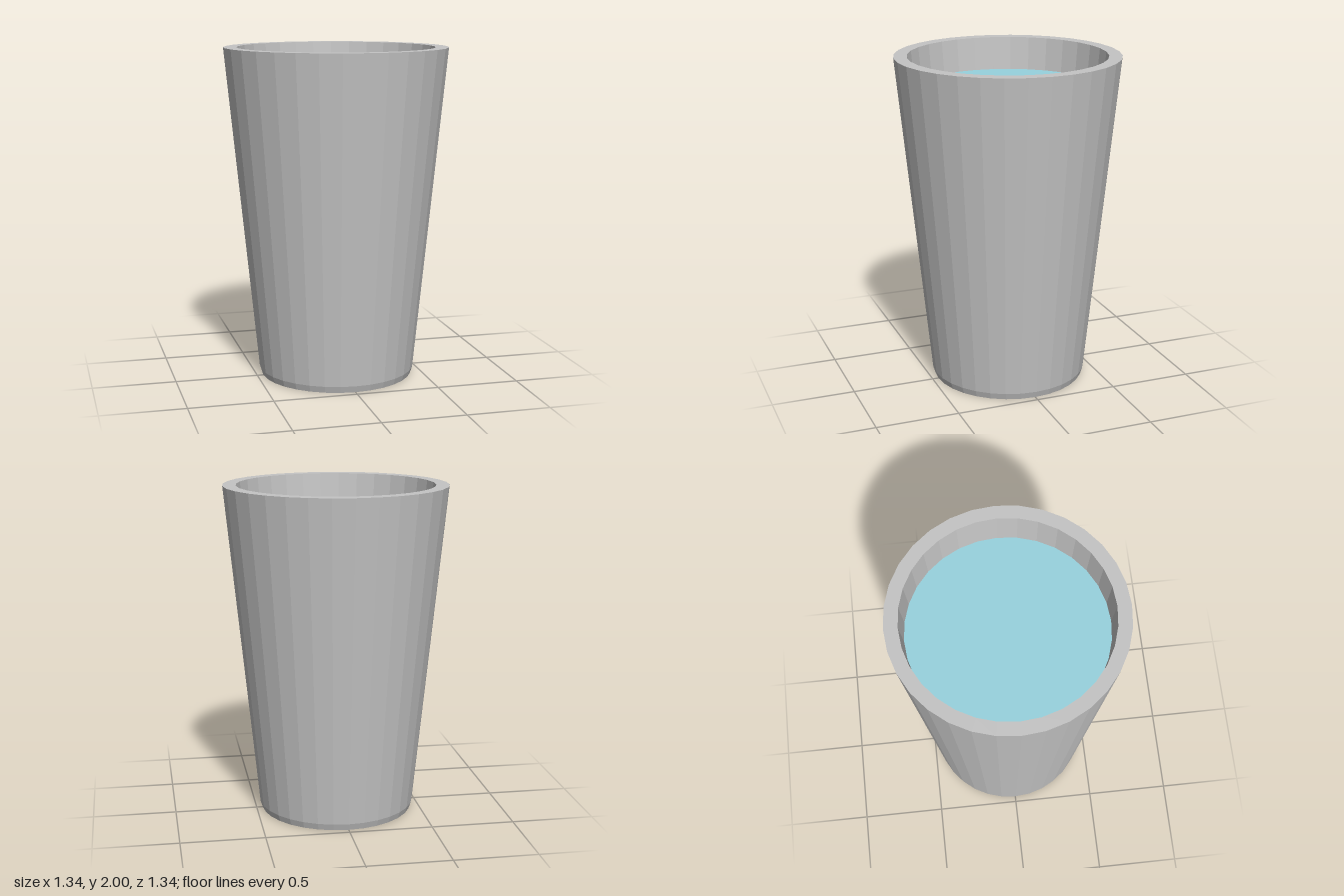
import * as THREE from 'three';

const SIDES = 32;

// Faceted solid of revolution from [radius, height] pairs
function turned(name, profile, material) {
  const points = profile.map(([r, y]) => new THREE.Vector2(r, y));
  const mesh = new THREE.Mesh(new THREE.LatheGeometry(points, SIDES), material);
  mesh.name = name;
  return mesh;
}

export function createModel() {
  const cupGrey = new THREE.MeshStandardMaterial({ color: 0xc4c4c4, flatShading: true });
  cupGrey.name = 'cupGrey';
  const waterBlue = new THREE.MeshStandardMaterial({ color: 0x97d2de, flatShading: true });
  waterBlue.name = 'waterBlue';

  const group = new THREE.Group();
  group.name = 'cupOfWater';

  // Tapered cup: base, small bevel, outer wall, flat rim, inner wall and floor
  group.add(turned('cup', [
    [0, 0], [0.462, 0], [0.475, 0.04], [0.672, 2],
    [0.593, 2], [0.415, 0.1], [0, 0.1],
  ], cupGrey));

  // Water surface: outer ring and centre disc, just below the rim
  group.add(turned('waterEdge', [[0.574, 1.8], [0.512, 1.8]], waterBlue));
  group.add(turned('waterSurface', [[0.512, 1.8], [0, 1.8]], waterBlue));

  return group;
}
